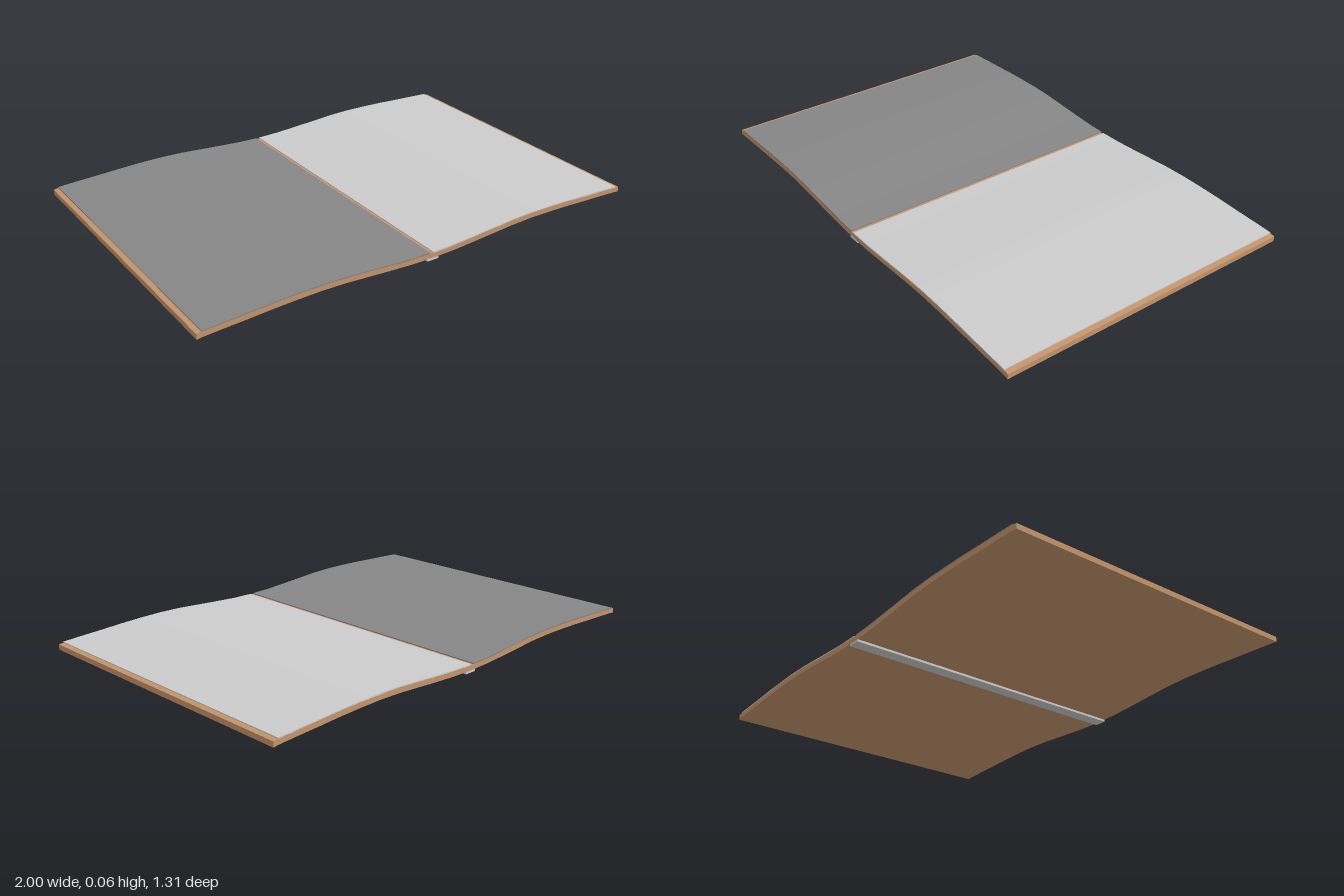
import * as THREE from 'three';
import { toCreasedNormals } from 'three/addons/utils/BufferGeometryUtils.js';

const DEPTH = 1.31;

// Half of the cover's top line, from the fold (x = 0) to the outer edge
const HALF = [[0, 0.031], [0.1, 0.033], [0.2, 0.039], [0.3, 0.046], [0.4, 0.053], [0.5, 0.056],
  [0.6, 0.055], [0.7, 0.052], [0.8, 0.047], [0.9, 0.043], [0.98, 0.039], [1, 0.036]];

// Height of the cover's top at any x
function topAt(x) {
  const a = Math.abs(x);
  for (let i = 1; i < HALF.length; i++) {
    const [x0, y0] = HALF[i - 1], [x1, y1] = HALF[i];
    if (a <= x1) return y0 + (y1 - y0) * (a - x0) / (x1 - x0);
  }
  return HALF[HALF.length - 1][1];
}

// A bent board between x0 and x1, following the top line between two offsets
function bentBoard(name, x0, x1, low, high, color) {
  const stops = HALF.flatMap(([x]) => (x ? [-x, x] : [0])).filter((x) => x > x0 && x < x1);
  const xs = [x0, ...stops.sort((a, b) => a - b), x1];
  const outline = [
    ...xs.map((x) => new THREE.Vector2(x, topAt(x) + low)),
    ...xs.reverse().map((x) => new THREE.Vector2(x, topAt(x) + high)),
  ];
  const geometry = new THREE.ExtrudeGeometry(new THREE.Shape(outline), { depth: DEPTH, bevelEnabled: false });
  geometry.translate(0, 0, -DEPTH / 2);
  const mesh = new THREE.Mesh(toCreasedNormals(geometry, 0.5), new THREE.MeshStandardMaterial({ color }));
  mesh.name = name;
  return mesh;
}

export function createModel() {
  const group = new THREE.Group();
  group.name = 'openFolder';

  // Curved cover, with a thin sheet on each side of the fold
  group.add(bentBoard('cover', -1, 1, -0.022, 0, 0xc4946b));
  group.add(bentBoard('rightSheet', -0.98, -0.015, -0.002, 0.004, 0x868686));
  group.add(bentBoard('leftSheet', 0, 0.98, -0.002, 0.004, 0xcccccc));

  // Spine strip under the fold
  const spine = new THREE.Mesh(
    new THREE.BoxGeometry(0.054, 0.014, DEPTH),
    new THREE.MeshStandardMaterial({ color: 0xcccccc }),
  );
  spine.name = 'spine';
  spine.position.y = 0.007;
  group.add(spine);

  return group;
}
